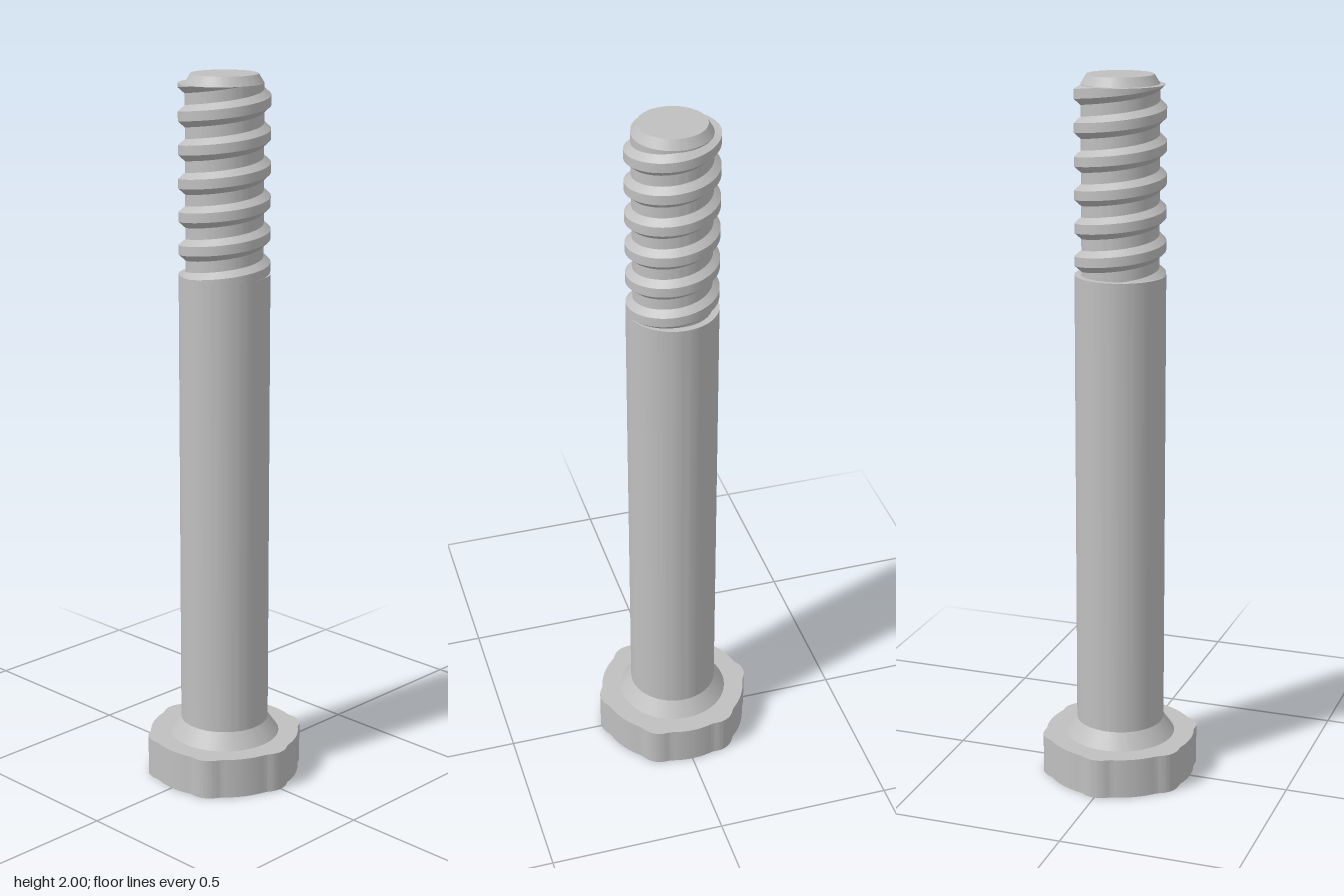
import * as THREE from 'three';
import { toCreasedNormals } from 'three/addons/utils/BufferGeometryUtils.js';

const CREASE = 0.45;

// Polar radius of the head: a round disc joined with a rounded hexagon
function headRadius(angle) {
  const disc = 0.213, apothem = 0.203, corner = 0.164, fillet = 0.061;
  const sector = Math.PI / 3;
  const phi = Math.abs(angle - Math.round(angle / sector) * sector);
  const tangent = Math.atan2(fillet * 0.5, corner + fillet * 0.866);
  const hex = phi < tangent
    ? corner * Math.cos(phi) + Math.sqrt(fillet ** 2 - (corner * Math.sin(phi)) ** 2)
    : apothem / Math.cos(Math.PI / 6 - phi);
  return Math.max(disc, hex);
}

// Head outline with a cross-shaped driver slot
function headGeometry(height) {
  const outline = [];
  for (let i = 0; i < 240; i++) {
    const a = (i / 240) * Math.PI * 2, r = headRadius(a);
    outline.push(new THREE.Vector2(r * Math.cos(a), r * Math.sin(a)));
  }
  const shape = new THREE.Shape(outline);
  const w = 0.011, l = 0.09;
  const cross = [];
  for (let k = 0; k < 4; k++) {
    for (const [x, y] of [[l, -w], [l, w], [w, w]]) {
      cross.push(new THREE.Vector2(x, y).rotateAround(new THREE.Vector2(), k * Math.PI / 2));
    }
  }
  shape.holes.push(new THREE.Path(cross));
  return new THREE.ExtrudeGeometry(shape, { depth: height, bevelEnabled: false }).rotateX(-Math.PI / 2);
}

// Trapezoidal right-handed ridge, cut flat below the tip
function threadGeometry() {
  const pitch = 0.09, root = 0.1, crest = 0.1245, cap = 1.975;
  const halfRoot = 0.035, halfCrest = 0.013;
  const yStart = 1.42, yEnd = cap + halfRoot, steps = 420;
  const profile = [[0, -halfRoot], [1, -halfCrest], [1, halfCrest], [0, halfRoot]];
  const positions = [], index = [];
  for (let i = 0; i <= steps; i++) {
    const y = yStart + (yEnd - yStart) * i / steps;
    const t = Math.PI / 2 + ((y - 1.92) / pitch) * Math.PI * 2;
    const reach = THREE.MathUtils.clamp((cap - y + halfRoot) / (halfRoot - halfCrest), 0, 1);
    profile.forEach(([out, dy], j) => {
      const r = root + (crest - root) * out * reach;
      positions.push(r * Math.sin(t), Math.min(y + dy, cap), r * Math.cos(t));
      if (i < steps && j < 3) {
        const a = i * 4 + j, b = a + 4;
        index.push(a, b, b + 1, a, b + 1, a + 1);
      }
    });
  }
  const g = new THREE.BufferGeometry();
  g.setAttribute('position', new THREE.Float32BufferAttribute(positions, 3));
  g.setIndex(index);
  return g;
}

const lathe = (points) =>
  new THREE.LatheGeometry(points.map(([r, y]) => new THREE.Vector2(r, y)), 96);

export function createModel() {
  const bolt = new THREE.Group();
  bolt.name = 'bolt';
  const steel = new THREE.MeshStandardMaterial({ color: 0xbfbfbf });
  steel.name = 'steel grey';

  const add = (name, geometry) => {
    const mesh = new THREE.Mesh(toCreasedNormals(geometry, CREASE), steel);
    mesh.name = name;
    bolt.add(mesh);
  };

  add('head', headGeometry(0.115));
  // The shank's lower end is the floor of the driver slot; it flares above the head
  add('shank', lathe([
    [0, 0.025], [0.11, 0.025], [0.11, 0.11], [0.157, 0.114],
    [0.125, 0.16], [0.125, 1.46], [0.1, 1.46],
  ]));
  // Thread core with a chamfered tip
  add('threadCore', lathe([[0.106, 1.44], [0.106, 1.975], [0.091, 2], [0, 2]]));
  add('thread', threadGeometry());

  return bolt;
}
